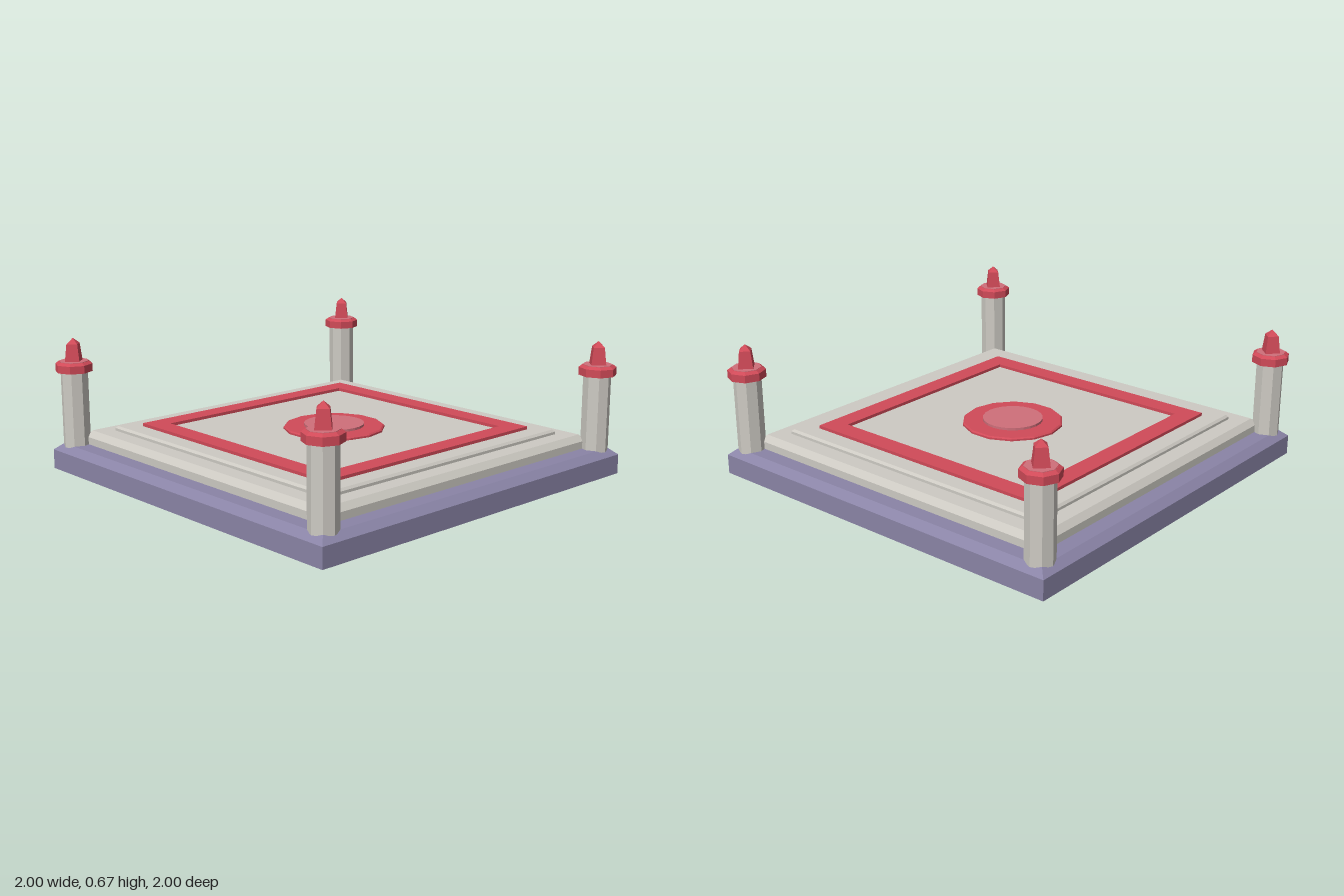
import * as THREE from 'three';

const slate = new THREE.MeshStandardMaterial({ color: 0x8a84a6 });
const stone = new THREE.MeshStandardMaterial({ color: 0xcdcac3 });
const red = new THREE.MeshStandardMaterial({ color: 0xd04a58 });
const pink = new THREE.MeshStandardMaterial({ color: 0xcf6f7a });
Object.entries({ slate, stone, red, pink }).forEach(([name, m]) => { m.name = name; });

// Faceted solid from [radius, y] pairs, listed bottom to top; the ends are closed
function faceted(name, profile, sides, material) {
  const pts = [[0, profile[0][1]], ...profile, [0, profile[profile.length - 1][1]]]
    .map(([r, y]) => new THREE.Vector2(r, y));
  const geo = new THREE.LatheGeometry(pts, sides).toNonIndexed();
  geo.computeVertexNormals();
  const mesh = new THREE.Mesh(geo, material);
  mesh.name = name;
  return mesh;
}

// Square slab from [half width, y] pairs
function slab(name, profile, material) {
  const mesh = faceted(name, profile.map(([h, y]) => [h * Math.SQRT2, y]), 4, material);
  mesh.geometry.rotateY(Math.PI / 4);
  return mesh;
}

function squarePath(Type, h) {
  return new Type([[-h, -h], [h, -h], [h, h], [-h, h]].map(([x, y]) => new THREE.Vector2(x, y)));
}

// Corner post with cap and pointed finial
function createPost(x, z) {
  const post = new THREE.Group();
  post.name = 'cornerPost';
  post.add(
    faceted('postShaft', [[0.068, 0.12], [0.068, 0.505]], 8, stone),
    faceted('postCap', [[0.092, 0.5], [0.092, 0.538], [0.075, 0.55]], 8, red),
    faceted('capTop', [[0.072, 0.548], [0.072, 0.552]], 8, pink),
    faceted('finial', [[0.051, 0.55], [0.038, 0.637], [0.001, 0.665]], 4, red),
  );
  post.position.set(x, 0, z);
  return post;
}

export function createModel() {
  const model = new THREE.Group();
  model.name = 'arenaPlatform';

  // Stepped platform
  model.add(
    slab('base', [[0.993, 0], [0.993, 0.097], [0.955, 0.13]], slate),
    slab('lowerStep', [[0.877, 0.125], [0.877, 0.167], [0.852, 0.197]], stone),
    slab('floor', [[0.77, 0.195], [0.77, 0.21], [0.76, 0.221]], stone),
  );

  // Square border on the floor
  const outline = squarePath(THREE.Shape, 0.673);
  outline.holes.push(squarePath(THREE.Path, 0.575));
  const border = new THREE.Mesh(
    new THREE.ExtrudeGeometry(outline, { depth: 0.017, bevelEnabled: false }), red);
  border.name = 'floorBorder';
  border.rotation.x = -Math.PI / 2;
  border.position.y = 0.219;
  model.add(border);

  // Centre medallion
  model.add(
    faceted('medallion', [[0.25, 0.219], [0.25, 0.23], [0.243, 0.236]], 14, red),
    faceted('medallionCentre', [[0.149, 0.234], [0.149, 0.248]], 24, pink),
  );

  for (const x of [-0.907, 0.907]) {
    for (const z of [-0.907, 0.907]) model.add(createPost(x, z));
  }
  return model;
}
